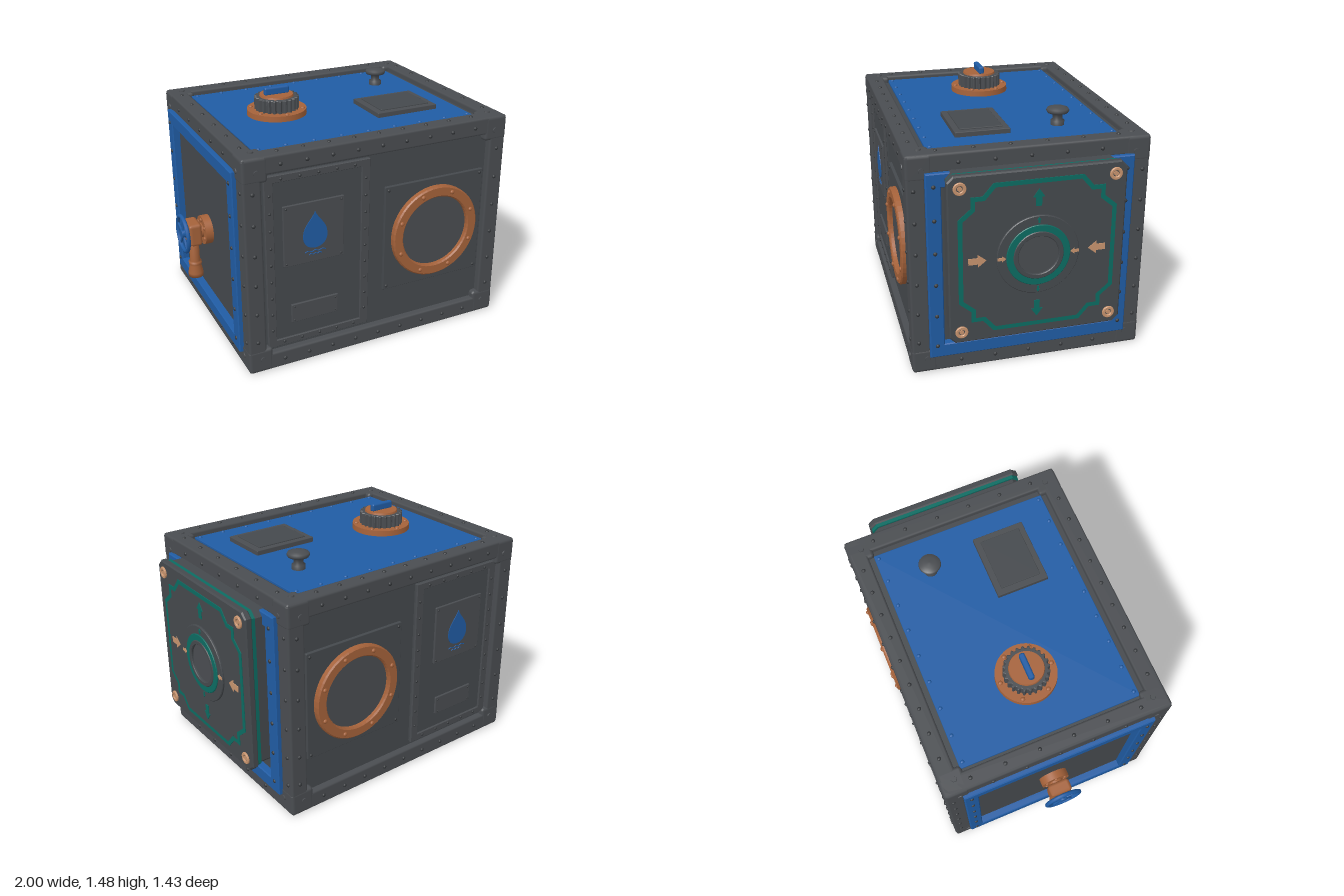
import * as THREE from 'three';
import { mergeGeometries } from 'three/addons/utils/BufferGeometryUtils.js';
import { RoundedBoxGeometry } from 'three/addons/geometries/RoundedBoxGeometry.js';

const material = (name, color) => Object.assign(new THREE.MeshStandardMaterial({ color }), { name });

export function createModel() {
  const model = new THREE.Group();
  model.name = 'waterTank';
  const frameGray = material('frameGray', 0x4a4d51);
  const panelGray = material('panelGray', 0x45494d);
  const rivetGray = material('rivetGray', 0x35383b);
  const blue = material('blue', 0x205ca4);
  const copper = material('copper', 0xa5623a);
  const paleCopper = material('paleCopper', 0xc8946e);
  const teal = material('teal', 0x0c6c62);

  // Every face group uses x right, y up and z outward
  const face = (name, rx, ry) => {
    const g = new THREE.Group();
    g.name = name;
    g.rotation.set(rx, ry, 0);
    model.add(g);
    return g;
  };
  const add = (g, name, geo, mat, x = 0, y = 0, z = 0) => {
    const m = new THREE.Mesh(geo, mat);
    m.name = name;
    m.position.set(x, y, z);
    g.add(m);
    return m;
  };
  const box = (g, name, mat, w, h, d, x, y, z, r = 0.006) =>
    add(g, name, new RoundedBoxGeometry(w, h, d, 1, r), mat, x, y, z);
  // Plate spanning z0 to z1
  const plate = (g, name, mat, x, y, w, h, z0, z1) =>
    box(g, name, mat, w, h, z1 - z0, x, y, (z0 + z1) / 2, Math.min(0.004, (z1 - z0) / 3));
  const disc = (g, name, mat, x, y, r, z0, z1, r2 = r, n = 40) =>
    add(g, name, new THREE.CylinderGeometry(r2, r, z1 - z0, n).rotateX(Math.PI / 2), mat, x, y, (z0 + z1) / 2);
  const polygon = (pts) => new THREE.Shape(pts.map(([x, y]) => new THREE.Vector2(x, y)));
  const extrude = (g, name, mat, shape, x, y, z0, z1, bevel = 0) =>
    add(g, name, new THREE.ExtrudeGeometry(shape, {
      depth: z1 - z0 - bevel * 2, curveSegments: 24, bevelEnabled: bevel > 0,
      bevelThickness: bevel, bevelSize: bevel, bevelOffset: -bevel, bevelSegments: 1,
    }), mat, x, y, z0 + bevel);
  const rectangle = (w, h) => polygon([[-w, -h], [w, -h], [w, h], [-w, h]].map(([a, b]) => [a / 2, b / 2]));
  const withHole = (shape, hole) => { shape.holes.push(hole); return shape; };
  const circle = (r) => new THREE.Shape().absarc(0, 0, r, 0, Math.PI * 2);
  const ring = (g, name, mat, x, y, ro, ri, z0, z1, bevel = 0) =>
    extrude(g, name, mat, withHole(circle(ro), circle(ri)), x, y, z0, z1, bevel);
  const rivets = (g, points, z, mat = rivetGray, r = 0.012, name = 'rivets') =>
    add(g, name, mergeGeometries(points.map(([x, y]) =>
      new THREE.SphereGeometry(r, 10, 6).scale(1, 1, 0.75).translate(x, y, z))), mat);
  const row = (n, a, b) => Array.from({ length: n }, (_, i) => a + (b - a) * i / (n - 1));
  const around = (n, r, x, y) => row(n + 1, 0, Math.PI * 2).slice(1)
    .map((t) => [x + r * Math.cos(t + Math.PI / n), y + r * Math.sin(t + Math.PI / n)]);
  // Rivets along the four sides of a rectangle
  const border = (nx, ny, x0, x1, y0, y1, hx, hy) => [
    ...row(nx, x0 + hx, x1 - hx).flatMap((x) => [[x, y0], [x, y1]]),
    ...row(ny, y0 + hy, y1 - hy).flatMap((y) => [[x0, y], [x1, y]])];

  // Inner body and outer frame
  const [X, H, Z, B] = [0.84, 1.335, 0.69, 0.108];
  box(model, 'innerBody', panelGray, 1.64, 1.27, 1.3, 0, 0.665, 0);
  for (const a of [-1, 1]) {
    for (const b of [-1, 1]) {
      const y = H / 2 + b * (H - B) / 2;
      box(model, 'longBeam', frameGray, X * 2, B, B, 0, y, a * (Z - B / 2), 0.014);
      box(model, 'crossBeam', frameGray, B, B, Z * 2, a * (X - B / 2), y, 0, 0.014);
      box(model, 'upright', frameGray, B, H, B, a * (X - B / 2), H / 2, b * (Z - B / 2), 0.014);
      for (const c of [-1, 1])
        box(model, 'cornerBlock', frameGray, 0.15, 0.15, 0.15, a * (X - 0.072), H / 2 + c * (H / 2 - 0.075), b * (Z - 0.072), 0.02);
    }
  }
  const hexBolts = (g, x, y0, y1, z) => [-x, x].forEach((u) => [y0, y1].forEach((v) =>
    disc(g, 'cornerBolt', frameGray, u, v, 0.018, z, z + 0.008, 0.016, 6)));

  // Front and back: door panel and porthole
  for (const s of [1, -1]) {
    const g = face(s > 0 ? 'front' : 'back', 0, s > 0 ? 0 : Math.PI);
    rivets(g, border(9, 6, -0.785, 0.785, 0.055, 1.28, 0.165, 0.15), Z);
    hexBolts(g, 0.76, 0.085, 1.25, 0.69);
    plate(g, 'door', panelGray, s * -0.392, 0.672, 0.645, 1.075, 0.64, 0.662);
    extrude(g, 'doorRim', frameGray, withHole(rectangle(0.645, 1.075), rectangle(0.54, 0.99)),
      s * -0.392, 0.672, 0.66, 0.674, 0.003);
    rivets(g, border(5, 9, s * -0.39 - 0.295, s * -0.39 + 0.295, 0.158, 1.186, 0.07, 0.09), 0.674, rivetGray, 0.009);
    plate(g, 'emblemPlate', frameGray, s * -0.42, 0.828, 0.375, 0.375, 0.655, 0.674);
    rivets(g, border(2, 2, s * -0.42 - 0.17, s * -0.42 + 0.17, 0.658, 0.998, 0, 0), 0.674, rivetGray, 0.007);
    const drop = new THREE.Shape();
    drop.moveTo(0, 0.12);
    drop.bezierCurveTo(0.02, 0.07, 0.075, 0.04, 0.075, -0.03);
    drop.bezierCurveTo(0.075, -0.13, -0.075, -0.13, -0.075, -0.03);
    drop.bezierCurveTo(-0.075, 0.04, -0.02, 0.07, 0, 0.12);
    extrude(g, 'waterDrop', blue, drop, s * -0.415, 0.835, 0.673, 0.678);
    for (const [w, y] of [[0.065, 0.71], [0.04, 0.692]]) {
      const wave = new THREE.CatmullRomCurve3(row(7, -w, w).map((x, i) => new THREE.Vector3(x, i % 2 ? 0.004 : -0.004, 0)));
      add(g, 'ripple', new THREE.TubeGeometry(wave, 24, 0.003, 5), blue, s * -0.415, y, 0.675);
    }
    plate(g, 'smallPlaque', frameGray, s * -0.417, 0.328, 0.298, 0.118, 0.655, 0.674);
    rivets(g, border(2, 2, s * -0.417 - 0.13, s * -0.417 + 0.13, 0.285, 0.37, 0, 0), 0.674, rivetGray, 0.006);

    const px = s * 0.375, py = 0.667;
    plate(g, 'portholePlate', panelGray, px, py, 0.675, 0.675, 0.645, 0.668);
    rivets(g, border(2, 2, px - 0.315, px + 0.315, py - 0.315, py + 0.315, 0, 0), 0.668, rivetGray, 0.01);
    ring(g, 'portholeRing', copper, px, py, 0.292, 0.225, 0.66, 0.704, 0.008);
    disc(g, 'portholeWindow', frameGray, px, py, 0.228, 0.66, 0.676, 0.228, 48);
    rivets(g, around(8, 0.26, px, py), 0.704, copper, 0.014, 'portholeBolts');
  }

  // Both ends: blue surround
  const ends = [1, -1].map((s) => {
    const g = face(s > 0 ? 'tankEnd' : 'valveEnd', 0, s * Math.PI / 2);
    rivets(g, border(5, 6, -0.65, 0.65, 0.055, 1.28, 0.245, 0.145), X);
    hexBolts(g, 0.605, 0.09, 1.248, X);
    extrude(g, 'blueSurround', blue, withHole(rectangle(1.18, 1.13), rectangle(1.01, 0.965)), 0, 0.67, 0.81, 0.866, 0.006);
    rivets(g, border(2, 6, -0.547, 0.547, 0.18, 1.16, 0, 0), 0.866);
    return g;
  });

  // Square hatch with painted border
  const hatch = ends[0], cy = 0.755;
  const chamfered = (a, c) => polygon([[a - c, a], [c - a, a], [-a, a - c], [-a, c - a], [c - a, -a], [a - c, -a], [a, c - a], [a, a - c]]);
  extrude(hatch, 'hatchBase', panelGray, chamfered(0.485, 0.035), 0, cy, 0.8, 0.915, 0.006);
  extrude(hatch, 'hatchSeal', teal, chamfered(0.492, 0.035), 0, cy, 0.913, 0.937);
  extrude(hatch, 'hatchCover', panelGray, chamfered(0.5, 0.035), 0, cy, 0.935, 0.978, 0.008);
  const notched = (pts) => {
    const half = pts.concat(pts.map(([x, y]) => [x, -y]).reverse());
    return polygon(half.concat(half.map(([x, y]) => [-x, y]).reverse()));
  };
  extrude(hatch, 'borderStripe', teal, withHole(
    notched([[0.25, 0.445], [0.31, 0.375], [0.375, 0.375], [0.375, 0.31], [0.445, 0.25]]),
    notched([[0.238, 0.42], [0.298, 0.35], [0.35, 0.35], [0.35, 0.298], [0.42, 0.238]])), 0, cy, 0.976, 0.982);
  // Arrow pointing up, centred on its own origin
  const arrow = (name, mat, x, y, turn, len, width, z) => {
    const h = len / 2, w = width / 2;
    extrude(hatch, name, mat, polygon([[0, h], [-w, h * 0.05], [-w * 0.5, h * 0.05], [-w * 0.5, -h],
      [w * 0.5, -h], [w * 0.5, h * 0.05], [w, h * 0.05]]), x, y, z, z + 0.006).rotation.z = turn;
  };
  for (const s of [1, -1]) {
    const out = s > 0 ? 0 : Math.PI;
    arrow('tealArrow', teal, 0, cy + s * 0.338, out, 0.1, 0.066, 0.976);
    arrow('smallTealArrow', teal, 0, cy + s * 0.21, out, 0.035, 0.022, 0.988);
    arrow('copperArrow', paleCopper, s * 0.34, cy, s * Math.PI / 2, 0.1, 0.075, 0.976);
    arrow('smallCopperArrow', paleCopper, s * 0.207, cy, s * Math.PI / 2, 0.048, 0.034, 0.988);
    for (const t of [1, -1]) {
      ring(hatch, 'hatchScrew', paleCopper, s * 0.432, cy + t * 0.43, 0.036, 0.018, 0.97, 0.988, 0.003);
      disc(hatch, 'screwSocket', paleCopper, s * 0.432, cy + t * 0.43, 0.014, 0.97, 0.984, 0.014, 6);
    }
  }
  ring(hatch, 'dialBase', panelGray, 0, cy, 0.235, 0.17, 0.97, 0.99, 0.004);
  ring(hatch, 'dialRing', teal, 0, cy, 0.182, 0.14, 0.97, 0.996, 0.003);
  ring(hatch, 'dialRim', panelGray, 0, cy, 0.143, 0.115, 0.97, 1.0, 0.004);
  disc(hatch, 'dialCentre', frameGray, 0, cy, 0.118, 0.97, 0.986);

  // Tap with hand wheel
  const tap = ends[1], ty = 0.635;
  disc(tap, 'tapFlange', copper, 0, ty, 0.09, 0.81, 0.868);
  rivets(tap, around(6, 0.068, 0, ty), 0.868, copper, 0.012, 'flangeBolts');
  disc(tap, 'tapNeck', copper, 0, ty, 0.045, 0.86, 0.97);
  box(tap, 'tapBody', copper, 0.14, 0.145, 0.08, 0, ty, 0.923, 0.02);
  add(tap, 'tapSpout', new THREE.LatheGeometry([[0, 0.335], [0.046, 0.335], [0.046, 0.36], [0.036, 0.41],
    [0.04, 0.42], [0.04, 0.435], [0.03, 0.44], [0.03, 0.57], [0, 0.57]].map((p) => new THREE.Vector2(...p)), 24), copper, 0, 0, 0.923);
  add(tap, 'handWheel', new THREE.TorusGeometry(0.11, 0.013, 8, 36), blue, 0, ty, 0.985);
  disc(tap, 'wheelHub', blue, 0, ty, 0.026, 0.96, 0.998);
  for (let i = 0; i < 5; i++) {
    const a = i * Math.PI * 0.4;
    box(tap, 'wheelSpoke', blue, 0.016, 0.1, 0.012, -Math.sin(a) * 0.06, ty + Math.cos(a) * 0.06, 0.985, 0.003).rotation.z = a;
  }

  // Top: blue lid, filler cap, access plate and push knob
  const top = face('top', -Math.PI / 2, 0);
  rivets(top, border(9, 6, -0.785, 0.785, -0.637, 0.637, 0.165, 0.12), H);
  hexBolts(top, 0.757, -0.605, 0.605, H);
  plate(top, 'lid', blue, -0.008, 0, 1.41, 1.1, 1.29, 1.314);
  rivets(top, row(9, -0.69, 0.68).slice(1, -1).concat(-0.68, 0.67).flatMap((x) => [[x, 0.525], [x, -0.525]]), 1.314, blue);
  const cx = -0.35;
  disc(top, 'capFlange', copper, cx, 0, 0.182, 1.3, 1.348, 0.18, 48);
  rivets(top, around(6, 0.158, cx, 0), 1.348, copper, 0.014, 'capBolts');
  const knurl = polygon(row(97, 0, Math.PI * 2).slice(0, 96).map((t, i) => {
    const r = i % 4 < 2 ? 0.135 : 0.122;
    return [r * Math.cos(t), r * Math.sin(t)];
  }));
  extrude(top, 'knurledCap', frameGray, knurl, cx, 0, 1.34, 1.425, 0.004);
  disc(top, 'capDisc', copper, cx, 0, 0.105, 1.42, 1.436, 0.1);
  box(top, 'capHandle', blue, 0.16, 0.034, 0.05, cx, 0, 1.455, 0.012);
  plate(top, 'accessPlate', frameGray, 0.355, -0.2, 0.405, 0.32, 1.31, 1.343);
  plate(top, 'accessPanel', panelGray, 0.355, -0.2, 0.33, 0.25, 1.335, 1.35);
  add(top, 'pushKnob', new THREE.LatheGeometry([[0.04, 1.31], [0.04, 1.34], [0.028, 1.345], [0.028, 1.38], [0.06, 1.388],
    [0.067, 1.4], [0.062, 1.412], [0.035, 1.422], [0, 1.425]].map((p) => new THREE.Vector2(...p)), 32).rotateX(Math.PI / 2),
  frameGray, 0.475, 0.265, 0);

  return model;
}
